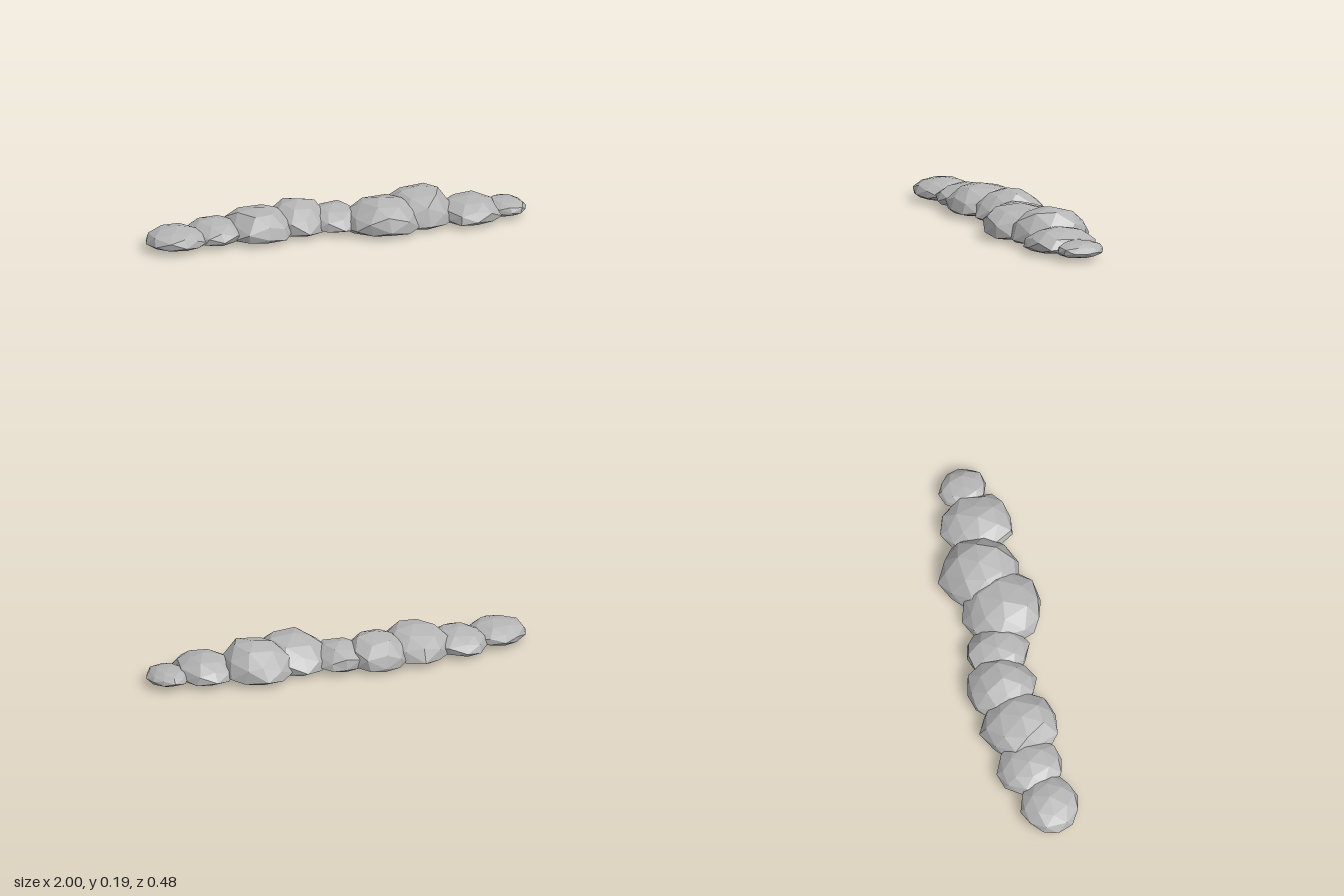
import * as THREE from 'three';

const stone = new THREE.MeshStandardMaterial({ color: 0xb4b4b4, flatShading: true });
stone.name = 'pale grey';

// Repeatable offset in -1..1 for a vertex, the same wherever faces share it
function wobble(v, seed) {
  const n = Math.sin(
    Math.round(v.x * 100) * 12.9898 + Math.round(v.y * 100) * 78.233 +
    Math.round(v.z * 100) * 37.719 + seed * 53.17) * 43758.5453;
  return (n - Math.floor(n)) * 2 - 1;
}

// Faceted dome with a nearly flat underside, fitted to the given extents
function puff({ x, rx, back, front, top, low }, seed) {
  const geo = new THREE.IcosahedronGeometry(1, 1);
  const pos = geo.attributes.position;
  const v = new THREE.Vector3();
  for (let i = 0; i < pos.count; i++) {
    v.fromBufferAttribute(pos, i);
    const a = wobble(v, seed), b = wobble(v, seed + 20), c = wobble(v, seed + 40);
    pos.setXYZ(i, v.x + a * 0.07, v.y + b * 0.06, v.z + c * 0.07);
  }
  geo.computeBoundingBox();
  const { min, max } = geo.boundingBox;
  const waist = low + 0.033;
  for (let i = 0; i < pos.count; i++) {
    v.fromBufferAttribute(pos, i);
    const y = v.y > 0
      ? waist + (v.y / max.y) * (top - waist)
      : waist - (v.y / min.y) * (waist - low);
    pos.setXYZ(i,
      THREE.MathUtils.mapLinear(v.x, min.x, max.x, x - rx, x + rx), y,
      THREE.MathUtils.mapLinear(v.z, min.z, max.z, back, front));
  }
  geo.computeVertexNormals();
  return new THREE.Mesh(geo, stone);
}

export function createModel() {
  const group = new THREE.Group();
  group.name = 'lumpyBank';
  // Overlapping puffs from the right end to the left end
  const puffs = [
    { x: -0.84, rx: 0.16, back: -0.14, front: 0.16, top: 0.12, low: 0.008 },
    { x: -0.63, rx: 0.155, back: -0.205, front: 0.13, top: 0.126, low: 0.006 },
    { x: -0.41, rx: 0.18, back: -0.235, front: 0.16, top: 0.162, low: 0.002 },
    { x: -0.18, rx: 0.16, back: -0.24, front: 0.12, top: 0.172, low: 0.001 },
    { x: 0.01, rx: 0.14, back: -0.195, front: 0.13, top: 0.136, low: 0.005 },
    { x: 0.22, rx: 0.195, back: -0.17, front: 0.24, top: 0.172, low: 0 },
    { x: 0.44, rx: 0.19, back: -0.235, front: 0.185, top: 0.187, low: 0 },
    { x: 0.68, rx: 0.16, back: -0.16, front: 0.205, top: 0.133, low: 0.004 },
    { x: 0.89, rx: 0.11, back: -0.115, front: 0.13, top: 0.09, low: 0.011 },
  ];
  puffs.forEach((p, i) => {
    const mesh = puff(p, i + 1);
    mesh.name = `puff${i + 1}`;
    group.add(mesh);
  });
  return group;
}
